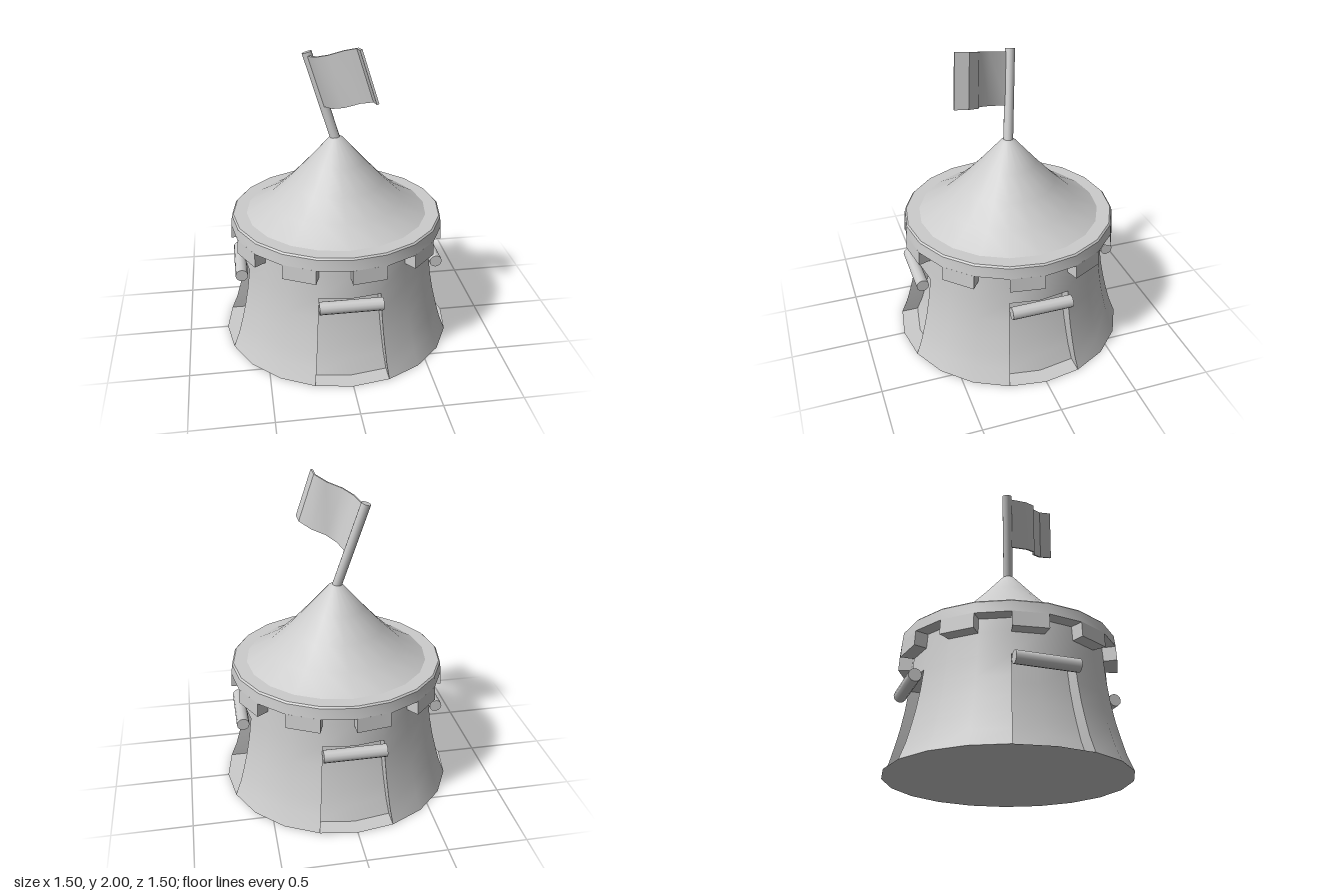
import * as THREE from 'three';
import { mergeGeometries, toCreasedNormals } from 'three/addons/utils/BufferGeometryUtils.js';

const SIDES = 20;
const STEP = (Math.PI * 2) / SIDES;
const RECESS = 0.11;

// Wall profile: [height, radius]; the door head is at 0.55
const DOOR_ROWS = [[0, 0.75], [0.1, 0.71], [0.2, 0.682], [0.3, 0.657], [0.42, 0.634], [0.55, 0.617]];
const UPPER_ROWS = [[0.55, 0.617], [0.7, 0.605], [0.84, 0.595]];

const material = new THREE.MeshStandardMaterial({ color: 0xcccccc });
const doubleMaterial = new THREE.MeshStandardMaterial({ color: 0xcccccc, side: THREE.DoubleSide });

function addMesh(parent, name, geometry, mat = material) {
  const mesh = new THREE.Mesh(geometry, mat);
  mesh.name = name;
  parent.add(mesh);
  return mesh;
}

// Grid surface through point(u, v); it faces the side where u runs right and v runs up
function patch(us, vs, point) {
  const positions = [];
  const index = [];
  const n = us.length;
  vs.forEach((v) => us.forEach((u) => positions.push(...point(u, v))));
  for (let j = 0; j < vs.length - 1; j++) {
    for (let i = 0; i < n - 1; i++) {
      const a = j * n + i;
      index.push(a, a + 1, a + n + 1, a, a + n + 1, a + n);
    }
  }
  const geometry = new THREE.BufferGeometry();
  geometry.setAttribute('position', new THREE.Float32BufferAttribute(positions, 3));
  geometry.setIndex(index);
  return geometry;
}

// Point on the wall, pushed inward along the door axis by depth
const wallPoint = (step, [y, r], depth = 0) => [
  r * Math.sin(step * STEP), y, r * Math.cos(step * STEP) - depth,
];

// Wall with a doorway recess in each quarter
function wallGeometry() {
  const doorHead = DOOR_ROWS[DOOR_ROWS.length - 1];
  const parts = [];
  for (let q = 0; q < 4; q++) {
    const quarter = [
      patch([1, 2, 3, 4], DOOR_ROWS, (s, row) => wallPoint(s, row)),
      patch([-1, 0, 1, 2, 3, 4], UPPER_ROWS, (s, row) => wallPoint(s, row)),
      patch([-1, 0, 1], DOOR_ROWS, (s, row) => wallPoint(s, row, RECESS)),
      patch([RECESS, 0], DOOR_ROWS, (d, row) => wallPoint(1, row, d)),
      patch([0, RECESS], DOOR_ROWS, (d, row) => wallPoint(-1, row, d)),
      patch([-1, 0, 1], [RECESS, 0], (s, d) => wallPoint(s, doorHead, d)),
    ];
    quarter.forEach((g) => parts.push(g.rotateY((q * Math.PI) / 2)));
  }
  return toCreasedNormals(mergeGeometries(parts), 0.6);
}

function lathe(points) {
  const profile = points.map(([r, y]) => new THREE.Vector2(r, y));
  return toCreasedNormals(new THREE.LatheGeometry(profile, SIDES), 0.6);
}

// One hanging tooth: a box bent into one side of the ring
function toothGeometry(step) {
  const geometry = new THREE.BoxGeometry(1, 1, 1);
  const p = geometry.attributes.position;
  for (let i = 0; i < p.count; i++) {
    const angle = (step + p.getX(i) + 0.5) * STEP;
    const top = p.getY(i) > 0;
    const r = p.getZ(i) > 0 ? (top ? 0.685 : 0.69) : 0.592;
    p.setXYZ(i, r * Math.sin(angle), top ? 0.782 : 0.69, r * Math.cos(angle));
  }
  geometry.computeVertexNormals();
  return geometry;
}

// Waving flag: a thin wavy outline, extruded down along the leaning pole
function flagGeometry() {
  const line = [[-0.165, -0.05], [-0.13, 0.08], [-0.07, 0.155], [0.02, 0.19], [0.085, 0.265], [0.09, 0.35]];
  const t = 0.007;
  const offset = (side) => line.map(([x, z], i) => {
    const a = line[Math.max(i - 1, 0)];
    const b = line[Math.min(i + 1, line.length - 1)];
    const length = Math.hypot(b[0] - a[0], b[1] - a[1]);
    return new THREE.Vector2(x - (side * t * (b[1] - a[1])) / length, z + (side * t * (b[0] - a[0])) / length);
  });
  const shape = new THREE.Shape([...offset(1), ...offset(-1).reverse()]);
  const geometry = new THREE.ExtrudeGeometry(shape, { depth: 1, bevelEnabled: false });
  const skew = new THREE.Matrix4().makeBasis(
    new THREE.Vector3(1, 0.32, 0),
    new THREE.Vector3(0, 0.13, 1),
    new THREE.Vector3(0.095, -0.31, 0.04),
  ).setPosition(0, 1.925, 0);
  geometry.applyMatrix4(skew);
  geometry.computeVertexNormals();
  return toCreasedNormals(geometry, 0.6);
}

export function createModel() {
  const model = new THREE.Group();
  model.name = 'roundTent';

  // Floor and wall
  const disc = new THREE.CircleGeometry(0.75, SIDES).rotateX(-Math.PI / 2);
  addMesh(model, 'floor', disc, doubleMaterial);
  addMesh(model, 'wall', wallGeometry());

  // Rolled-up door flaps
  for (let q = 0; q < 4; q++) {
    const door = new THREE.Group();
    door.name = 'doorFlap';
    door.rotation.y = (q * Math.PI) / 2;
    const roll = new THREE.CylinderGeometry(0.04, 0.04, 0.39, 12).rotateZ(Math.PI / 2);
    addMesh(door, 'rolledFlap', roll).position.set(0, 0.512, 0.638);
    model.add(door);
  }

  // Eave ring with hanging teeth on every second side
  addMesh(model, 'eaveRing', lathe([[0.59, 0.78], [0.685, 0.78], [0.677, 0.85], [0.667, 0.86], [0.58, 0.86]]));
  const teeth = [];
  for (let step = 0; step < SIDES; step += 2) teeth.push(toothGeometry(step));
  addMesh(model, 'eaveTeeth', mergeGeometries(teeth));

  // Roof
  addMesh(model, 'roof', lathe([[0.585, 0.858], [0.425, 0.95], [0.3, 1.068], [0.177, 1.2], [0.045, 1.35], [0, 1.365]]));

  // Leaning flag pole
  const foot = new THREE.Vector3(0, 1.33, 0);
  const tip = new THREE.Vector3(-0.17, 1.885, -0.07);
  const axis = tip.clone().sub(foot);
  const pole = addMesh(model, 'flagPole', new THREE.CylinderGeometry(0.031, 0.031, axis.length(), 12));
  pole.position.copy(foot).add(tip).multiplyScalar(0.5);
  pole.quaternion.setFromUnitVectors(new THREE.Vector3(0, 1, 0), axis.normalize());

  addMesh(model, 'flag', flagGeometry(), doubleMaterial);
  return model;
}
